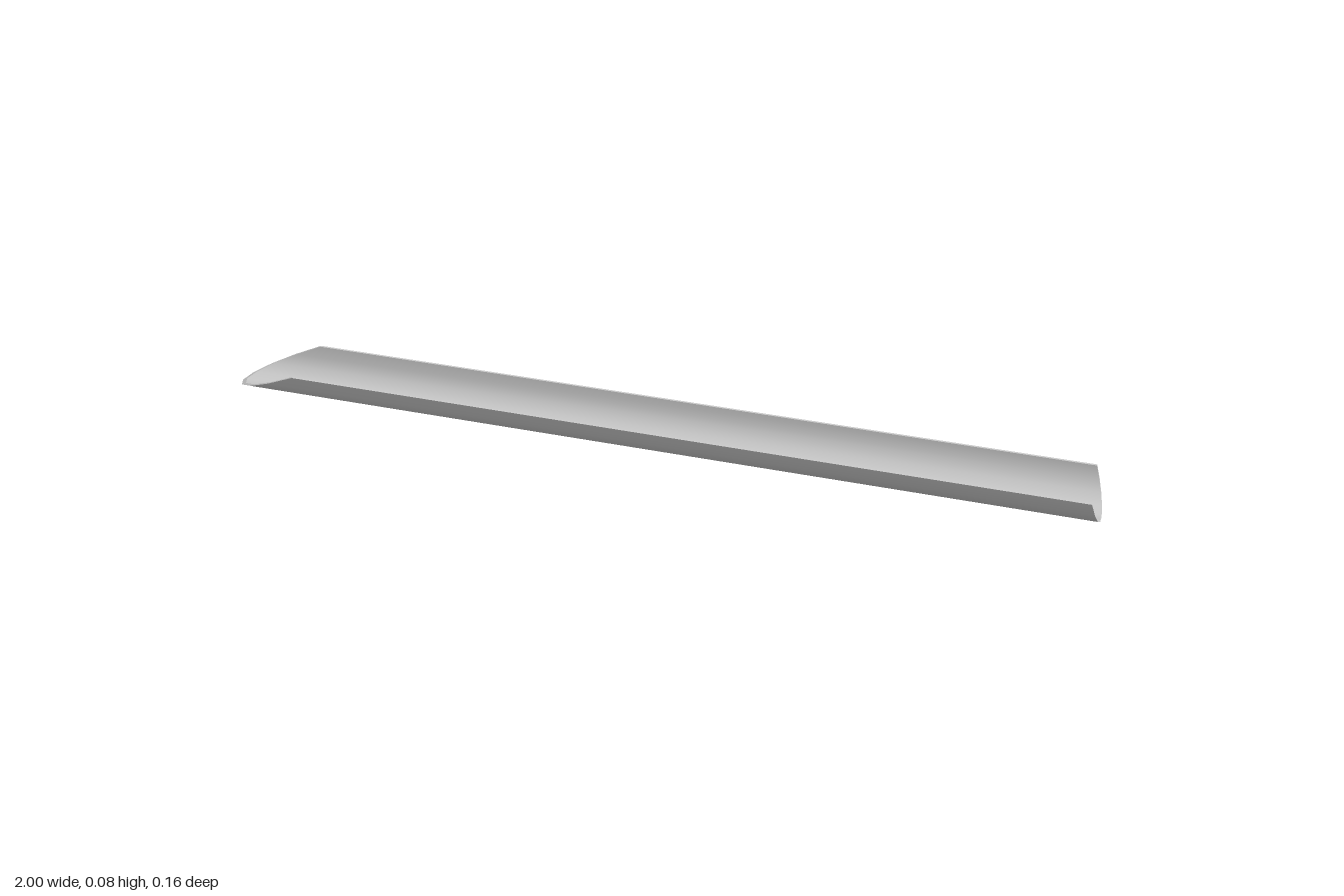
import * as THREE from 'three';
import { toCreasedNormals } from 'three/addons/utils/BufferGeometryUtils.js';

const RADIUS = 0.078, THICKNESS = 0.005, SEGMENTS = 8;

// Half-ring cross-section, open at the top and resting on y = 0
function troughSection() {
  const arc = (r) => Array.from({ length: SEGMENTS + 1 }, (_, i) => {
    const a = Math.PI + (i / SEGMENTS) * Math.PI;
    return new THREE.Vector2(r * Math.cos(a), RADIUS + r * Math.sin(a));
  });
  return new THREE.Shape([...arc(RADIUS), ...arc(RADIUS - THICKNESS).reverse()]);
}

export function createModel() {
  const group = new THREE.Group();
  group.name = 'halfPipe';

  // Run the section along x
  const geometry = new THREE.ExtrudeGeometry(troughSection(), { depth: 1, bevelEnabled: false });
  geometry.rotateY(Math.PI / 2);

  // Cut the ends on a slant: long pointed tip at -x, slight rake at +x
  const pos = geometry.attributes.position;
  for (let i = 0; i < pos.count; i++) {
    const h = pos.getY(i) / RADIUS;
    pos.setX(i, pos.getX(i) < 0.5 ? -1 + 0.175 * h : 1 - 0.025 * h);
  }

  // Smooth around the curve, sharp at rims and cut ends
  const trough = new THREE.Mesh(
    toCreasedNormals(geometry, 0.4),
    new THREE.MeshStandardMaterial({ color: 0xcccccc })
  );
  trough.name = 'trough';
  group.add(trough);
  return group;
}
